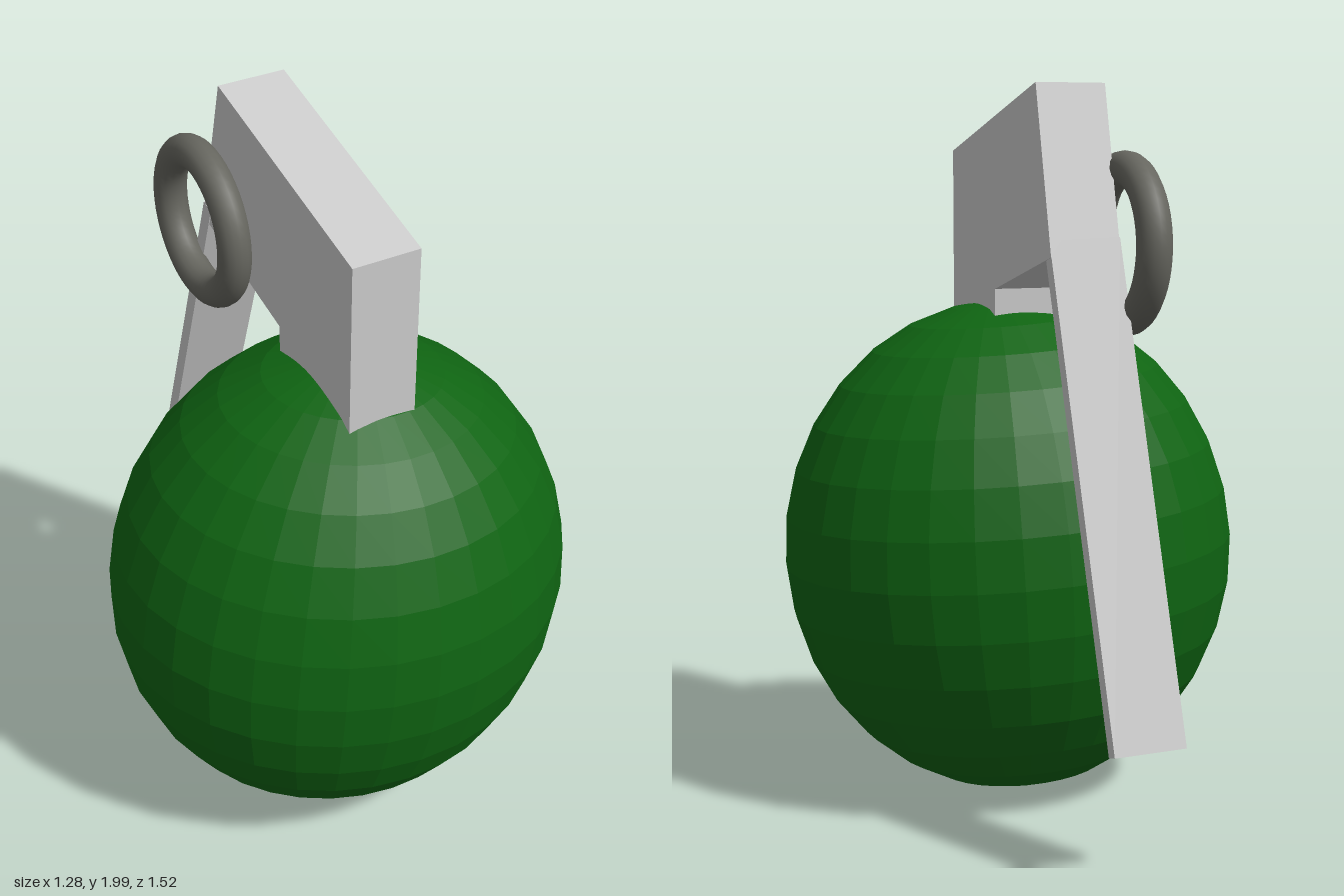
import * as THREE from 'three';

const mat = (color) => new THREE.MeshStandardMaterial({ color, flatShading: true });

function addMesh(group, name, geometry, material) {
  const mesh = new THREE.Mesh(geometry, material);
  mesh.name = name;
  group.add(mesh);
  return mesh;
}

export function createModel() {
  const group = new THREE.Group();
  const grey = mat(0xcccccc);
  const green = mat(0x0f6412);
  const darkGrey = new THREE.MeshStandardMaterial({ color: 0x66665f });

  // Faceted egg-shaped body, slightly tilted
  const body = addMesh(group, 'body', new THREE.SphereGeometry(1, 32, 16), green);
  body.scale.set(0.643, 0.705, 0.58);
  body.rotation.set(0, -0.05, -0.06);
  body.position.set(0, 0.709, 0.185);

  // Head: side profile as (z, y), extruded across x
  const profile = [
    [0.405, 1.2], [0.405, 1.83], [-0.28, 2.0], [-0.393, 1.562], [0.04, 1.455], [0.04, 1.2],
  ].map(([z, y]) => new THREE.Vector2(z, y));
  const headGeometry = new THREE.ExtrudeGeometry(new THREE.Shape(profile), { depth: 0.19, bevelEnabled: false });
  headGeometry.rotateY(-Math.PI / 2).translate(0.092, 0, 0);
  addMesh(group, 'head', headGeometry, grey);

  // Lever: thin bar hanging from the head, slightly twisted
  const top = new THREE.Vector3(-0.004, 1.6, -0.363);
  const bottom = new THREE.Vector3(-0.036, 0.357, -0.735);
  const along = top.clone().sub(bottom);
  const length = along.length();
  along.normalize();
  const across = new THREE.Vector3(1, 0, 0.05);
  across.addScaledVector(along, -across.dot(along)).normalize();
  const outward = across.clone().cross(along);
  const lever = addMesh(group, 'lever', new THREE.BoxGeometry(0.19, length, 0.045), grey);
  lever.quaternion.setFromRotationMatrix(new THREE.Matrix4().makeBasis(across, along, outward));
  lever.position.addVectors(top, bottom).multiplyScalar(0.5);

  // Pull ring beside the head
  const ring = addMesh(group, 'pullRing', new THREE.TorusGeometry(0.193, 0.046, 16, 48), darkGrey);
  ring.rotation.y = Math.PI / 2;
  ring.position.set(-0.135, 1.59, -0.328);

  return group;
}
